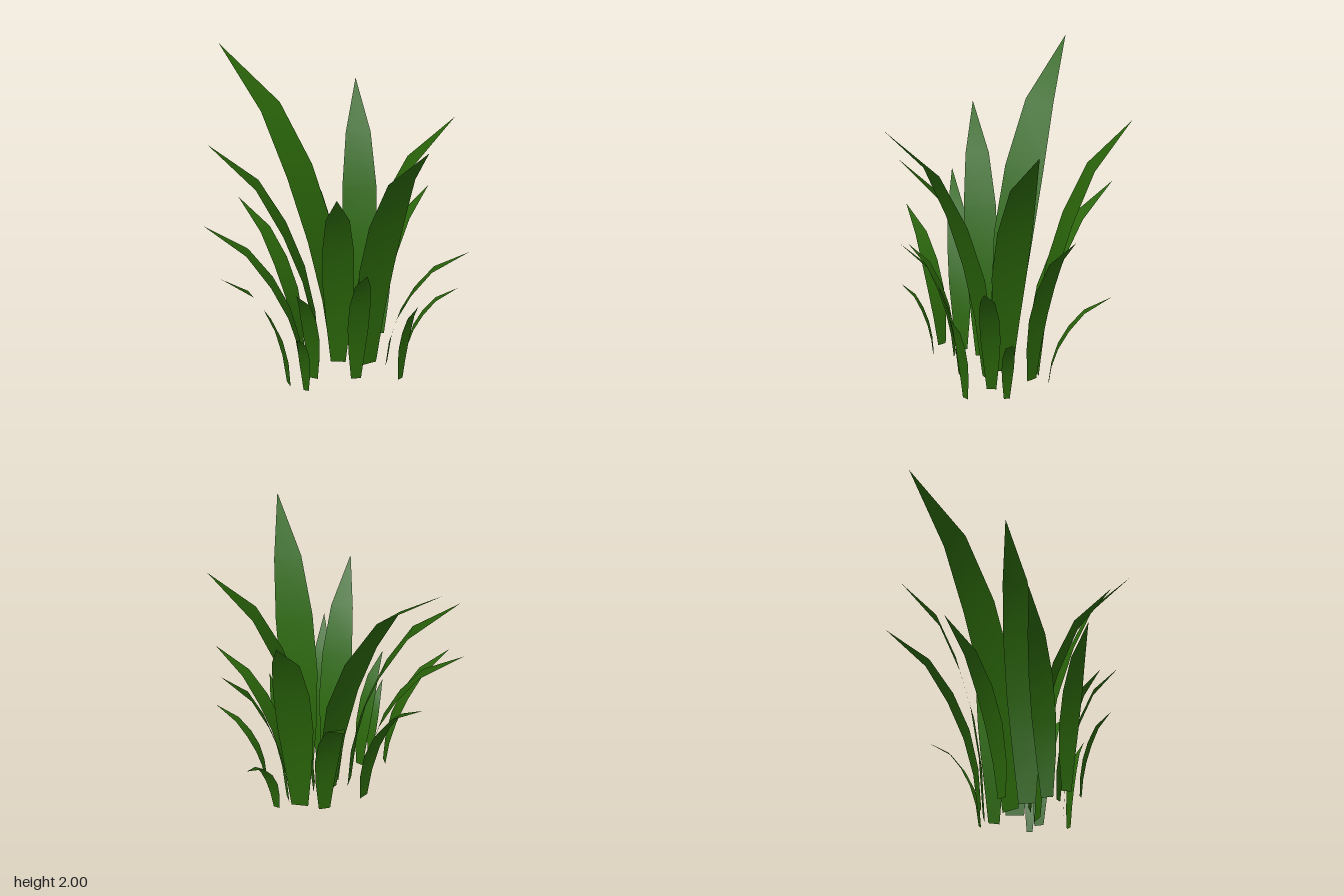
import * as THREE from 'three';

// Each blade: base x, base z, tip x, tip y, tip z
const BLADES = [
  [0.08, 0.025, -0.005, 2.0, -0.9],
  [0.108, 0.27, -0.18, 1.815, 0.9],
  [0.328, 0.022, 0.745, 1.68, -0.38],
  [0.14, 0.112, 0.61, 1.685, 0.525],
  [-0.085, 0.01, -0.5, 1.565, -0.53],
  [-0.002, 0.105, -0.43, 1.47, 0.445],
  [0.217, -0.105, 0.487, 1.14, -0.672],
  [0.352, 0.125, 0.72, 1.1, 0.27],
  [-0.252, 0.018, -0.632, 1.08, -0.465],
  [-0.065, -0.17, -0.11, 1.02, -0.67],
  [-0.075, 0.318, -0.32, 0.98, 0.592],
  [0.192, 0.36, 0.42, 0.91, 0.81],
  [-0.408, 0.027, -0.8, 0.89, -0.15],
  [-0.252, 0.108, -0.53, 0.79, 0.215],
  [0.462, 0.102, 0.797, 0.62, -0.085],
  [0.11, 0.54, 0.09, 0.61, 0.675],
  [0.335, 0.41, 0.53, 0.55, 0.672],
  [-0.388, 0.16, -0.568, 0.51, 0.255],
];

// Stations along a blade: outward reach, height, width (all as fractions)
const STATIONS = [
  [0, 0, 0.48], [0.045, 0.22, 0.78], [0.145, 0.43, 0.98],
  [0.318, 0.635, 0.96], [0.562, 0.83, 0.7], [1, 1, 0],
];

function bladeGeometry([bx, bz, tx, ty, tz]) {
  const dx = tx - bx, dz = tz - bz, reach = Math.hypot(dx, dz);
  const maxWidth = 0.14 * ty;
  // sideways direction, perpendicular to the outward lean
  const sx = dz / reach, sz = -dx / reach;
  const pos = [], index = [];
  STATIONS.forEach(([r, h, w], i) => {
    const x = bx + dx * r, z = bz + dz * r, half = maxWidth * w / 2;
    if (w === 0) {
      pos.push(x, ty * h, z);
      return;
    }
    pos.push(x - sx * half, ty * h, z - sz * half, x + sx * half, ty * h, z + sz * half);
    const a = i * 2;
    if (i < STATIONS.length - 2) index.push(a, a + 1, a + 3, a, a + 3, a + 2);
    else index.push(a, a + 1, a + 2);
  });
  const g = new THREE.BufferGeometry();
  g.setAttribute('position', new THREE.Float32BufferAttribute(pos, 3));
  g.setIndex(index);
  g.computeVertexNormals();
  return g;
}

export function createModel() {
  const group = new THREE.Group();
  group.name = 'grassClump';
  const leafGreen = new THREE.MeshStandardMaterial({ color: 0x2a650a, side: THREE.DoubleSide });
  leafGreen.name = 'leafGreen';
  BLADES.forEach((b, i) => {
    const blade = new THREE.Mesh(bladeGeometry(b), leafGreen);
    blade.name = `blade${i + 1}`;
    group.add(blade);
  });
  return group;
}
